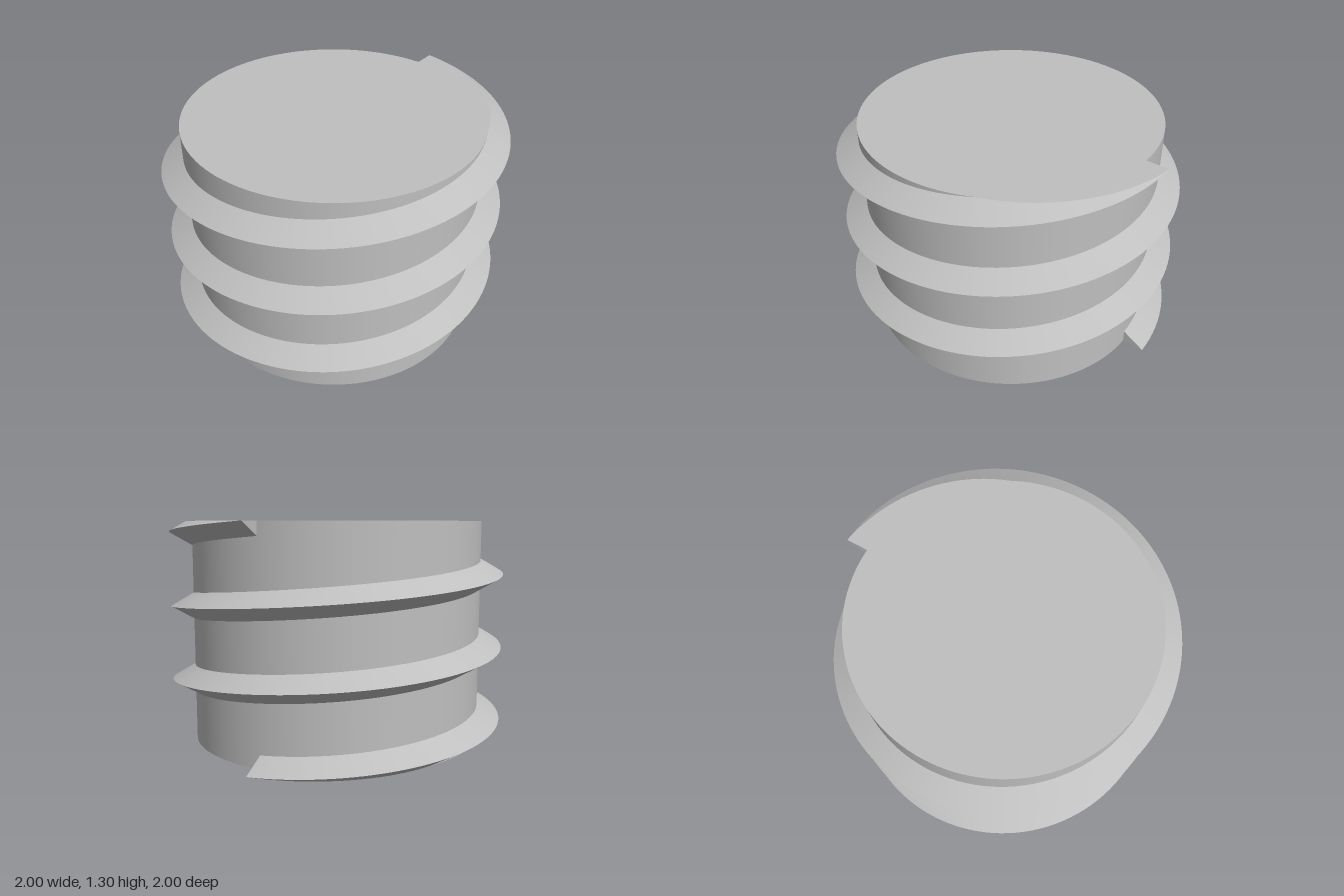
import * as THREE from 'three';

const ROOT = 0.868, CREST = 1, HALF = 0.077; // thread profile
const PITCH = 0.435, TURNS = 3, HEIGHT = PITCH * TURNS;
const SEGMENTS = 120; // per turn

// Thread cross-section [radius, y], trimmed flat by the two end planes:
// inner bottom, bottom trim, crest, top trim, inner top
function section(y) {
  const low = Math.max(0, y - HALF), high = Math.min(HEIGHT, y + HALF);
  const radiusAt = (v) => CREST - (CREST - ROOT) * Math.abs(v - y) / HALF;
  return [[ROOT, low], [radiusAt(low), low], [CREST, y], [radiusAt(high), high], [ROOT, high]];
}

function makeGeometry(positions, indices) {
  const geometry = new THREE.BufferGeometry();
  geometry.setAttribute('position', new THREE.Float32BufferAttribute(positions, 3));
  geometry.setIndex(indices);
  geometry.computeVertexNormals();
  return geometry;
}

// One helical face of the thread, between section corners k and k + 1
function helixFace(k) {
  const positions = [], indices = [], widths = [];
  const count = SEGMENTS * TURNS;
  for (let i = 0; i <= count; i++) {
    const angle = (i / SEGMENTS) * Math.PI * 2;
    const points = section((i / SEGMENTS) * PITCH);
    const [p, q] = [points[k], points[k + 1]];
    for (const [r, y] of [p, q]) positions.push(r * Math.cos(angle), y, -r * Math.sin(angle));
    widths.push(Math.hypot(q[0] - p[0], q[1] - p[1]));
  }
  for (let i = 0; i < count; i++) {
    const a = i * 2;
    if (widths[i] > 1e-6) indices.push(a, a + 2, a + 1);
    if (widths[i + 1] > 1e-6) indices.push(a + 2, a + 3, a + 1);
  }
  return makeGeometry(positions, indices);
}

// Flat end of the thread, in the plane z = 0
function endFace(y, flip) {
  const positions = section(y).flatMap(([r, v]) => [r, v, 0]);
  const indices = [];
  for (let i = 1; i < 4; i++) indices.push(0, ...(flip ? [i + 1, i] : [i, i + 1]));
  return makeGeometry(positions, indices);
}

export function createModel() {
  const model = new THREE.Group();
  model.name = 'threadedPlug';
  const steel = new THREE.MeshStandardMaterial({ color: 0xbfbfbf });
  steel.name = 'grey';

  const add = (parent, name, geometry) => {
    const mesh = new THREE.Mesh(geometry, steel);
    mesh.name = name;
    parent.add(mesh);
    return mesh;
  };

  // Solid core
  add(model, 'core', new THREE.CylinderGeometry(ROOT, ROOT, HEIGHT, SEGMENTS)).position.y = HEIGHT / 2;

  // Three-turn V thread
  const thread = new THREE.Group();
  thread.name = 'thread';
  ['bottomTrim', 'lowerFlank', 'upperFlank', 'topTrim'].forEach((name, k) => add(thread, name, helixFace(k)));
  add(thread, 'startFace', endFace(0, false));
  add(thread, 'endFace', endFace(HEIGHT, true));
  model.add(thread);

  return model;
}
